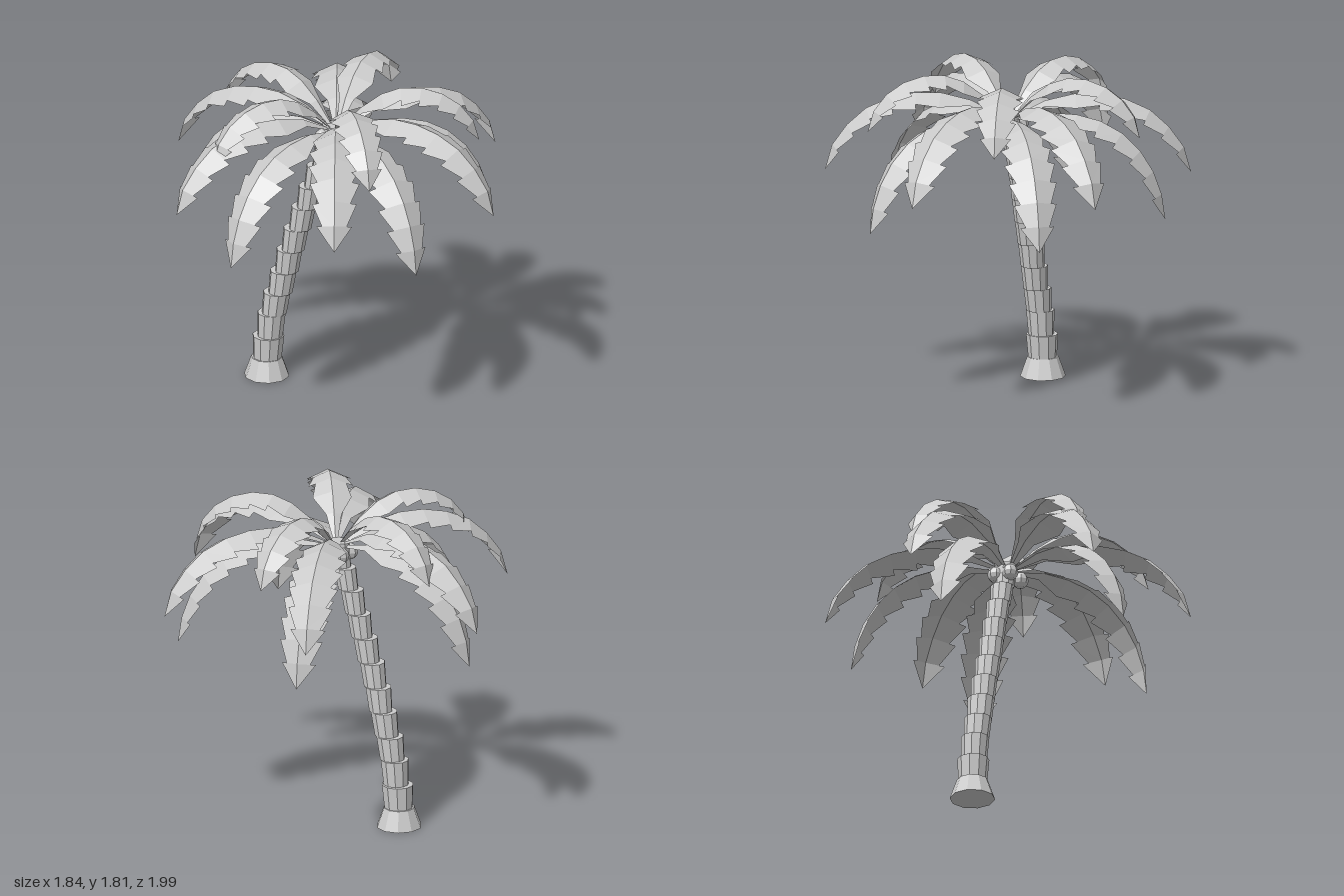
import * as THREE from 'three';

const material = new THREE.MeshStandardMaterial({ color: 0xcccccc, flatShading: true });
const leafMaterial = new THREE.MeshStandardMaterial({ color: 0xcccccc, flatShading: true, side: THREE.DoubleSide });

// Centre line of the leaning trunk: height, x, z
const trunkLine = [
  [0, -0.355, -0.225], [0.11, -0.355, -0.225], [0.24, -0.343, -0.218], [0.38, -0.325, -0.205],
  [0.51, -0.295, -0.185], [0.645, -0.26, -0.165], [0.78, -0.23, -0.145], [0.915, -0.195, -0.12],
  [1.05, -0.155, -0.10], [1.18, -0.12, -0.08], [1.31, -0.08, -0.055], [1.43, -0.04, -0.03], [1.57, -0.005, -0.005],
];

// Stacked trunk piece, leaning partly from its lower to its upper centre
function trunkPiece(name, a, b, rBottom, rTop, lean) {
  const h = b[0] - a[0];
  const geo = new THREE.CylinderGeometry(rTop, rBottom, h, 10);
  const pos = geo.attributes.position;
  for (let i = 0; i < pos.count; i++) {
    const t = (pos.getY(i) / h) * lean;
    pos.setX(i, pos.getX(i) + t * (b[1] - a[1]));
    pos.setZ(i, pos.getZ(i) + t * (b[2] - a[2]));
  }
  geo.computeVertexNormals();
  const mesh = new THREE.Mesh(geo, material);
  mesh.name = name;
  mesh.position.set((a[1] + b[1]) / 2, (a[0] + b[0]) / 2, (a[2] + b[2]) / 2);
  return mesh;
}

// Frond outline: share of length, half width arriving, half width leaving
const outline = [
  [0, 0, 0.014], [0.16, 0.05, 0.05], [0.3, 0.125, 0.125], [0.415, 0.1, 0.145], [0.53, 0.105, 0.148],
  [0.65, 0.1, 0.14], [0.765, 0.09, 0.125], [0.88, 0.07, 0.1], [1, 0, 0],
];
const droop = 0.45;

// Folded, saw-edged frond along an arch of (radius, height) points; it points to +x
function frondGeometry(arch, scale) {
  const curve = new THREE.CatmullRomCurve3(arch.map(([r, y]) => new THREE.Vector3(r, y, 0)));
  const ridge = outline.map(([t]) => curve.getPointAt(t));
  // Edge point: sideways by w, drooping below the ridge
  const edge = (i, w, s) => {
    const tan = curve.getTangentAt(outline[i][0]);
    const d = w * scale * droop;
    return new THREE.Vector3(tan.y * d, -tan.x * d, s * w * scale).add(ridge[i]);
  };
  const verts = [];
  const tri = (s, a, b, c) => (s > 0 ? [a, b, c] : [a, c, b]).forEach((p) => verts.push(p.x, p.y, p.z));
  for (const s of [1, -1]) {
    for (let i = 0; i < outline.length - 1; i++) {
      const a = edge(i, outline[i][2], s);
      const next = outline[i + 1][1];
      tri(s, ridge[i], a, ridge[i + 1]);
      if (next > 0) tri(s, a, edge(i + 1, next, s), ridge[i + 1]);
    }
  }
  const geo = new THREE.BufferGeometry();
  geo.setAttribute('position', new THREE.Float32BufferAttribute(verts, 3));
  geo.computeVertexNormals();
  return geo;
}

export function createModel() {
  const model = new THREE.Group();

  // Trunk: flared foot, then overlapping rings
  const trunk = new THREE.Group();
  trunk.name = 'trunk';
  trunk.add(trunkPiece('trunkFoot', trunkLine[0], trunkLine[1], 0.125, 0.086, 1));
  for (let i = 1; i < trunkLine.length - 1; i++) {
    const r = i === 1 ? 0.088 : 0.078 - 0.002 * (i - 2);
    trunk.add(trunkPiece('trunkRing', trunkLine[i], trunkLine[i + 1], r * 0.9, r, 0.45));
  }
  model.add(trunk);

  // Three tiers of fronds, evenly spread around the crown
  const tiers = [
    { name: 'topFrond', count: 5, start: -11, scale: 0.85,
      arch: [[0.03, 1.56], [0.2, 1.735], [0.38, 1.81], [0.55, 1.79], [0.68, 1.715], [0.755, 1.62], [0.785, 1.51]] },
    { name: 'middleFrond', count: 6, start: 23, scale: 0.97,
      arch: [[0.03, 1.555], [0.2, 1.645], [0.4, 1.69], [0.6, 1.67], [0.78, 1.595], [0.92, 1.455], [0.975, 1.36], [1.0, 1.25]] },
    { name: 'lowFrond', count: 5, start: 6, scale: 0.95,
      arch: [[0.03, 1.545], [0.18, 1.58], [0.35, 1.58], [0.53, 1.535], [0.68, 1.435], [0.79, 1.285], [0.845, 1.14], [0.865, 1.0]] },
  ];
  for (const { name, count, start, scale, arch } of tiers) {
    const geo = frondGeometry(arch, scale);
    for (let i = 0; i < count; i++) {
      const frond = new THREE.Mesh(geo, leafMaterial);
      frond.name = name;
      frond.rotation.y = THREE.MathUtils.degToRad(start + (360 * i) / count);
      model.add(frond);
    }
  }

  // Coconuts under the crown
  const nutGeo = new THREE.SphereGeometry(0.046, 8, 6);
  for (const [x, z] of [[0.03, 0.07], [0.06, 0.0], [-0.075, 0.005], [-0.03, -0.07]]) {
    const nut = new THREE.Mesh(nutGeo, material);
    nut.name = 'coconut';
    nut.position.set(x, 1.505, z);
    model.add(nut);
  }
  return model;
}
